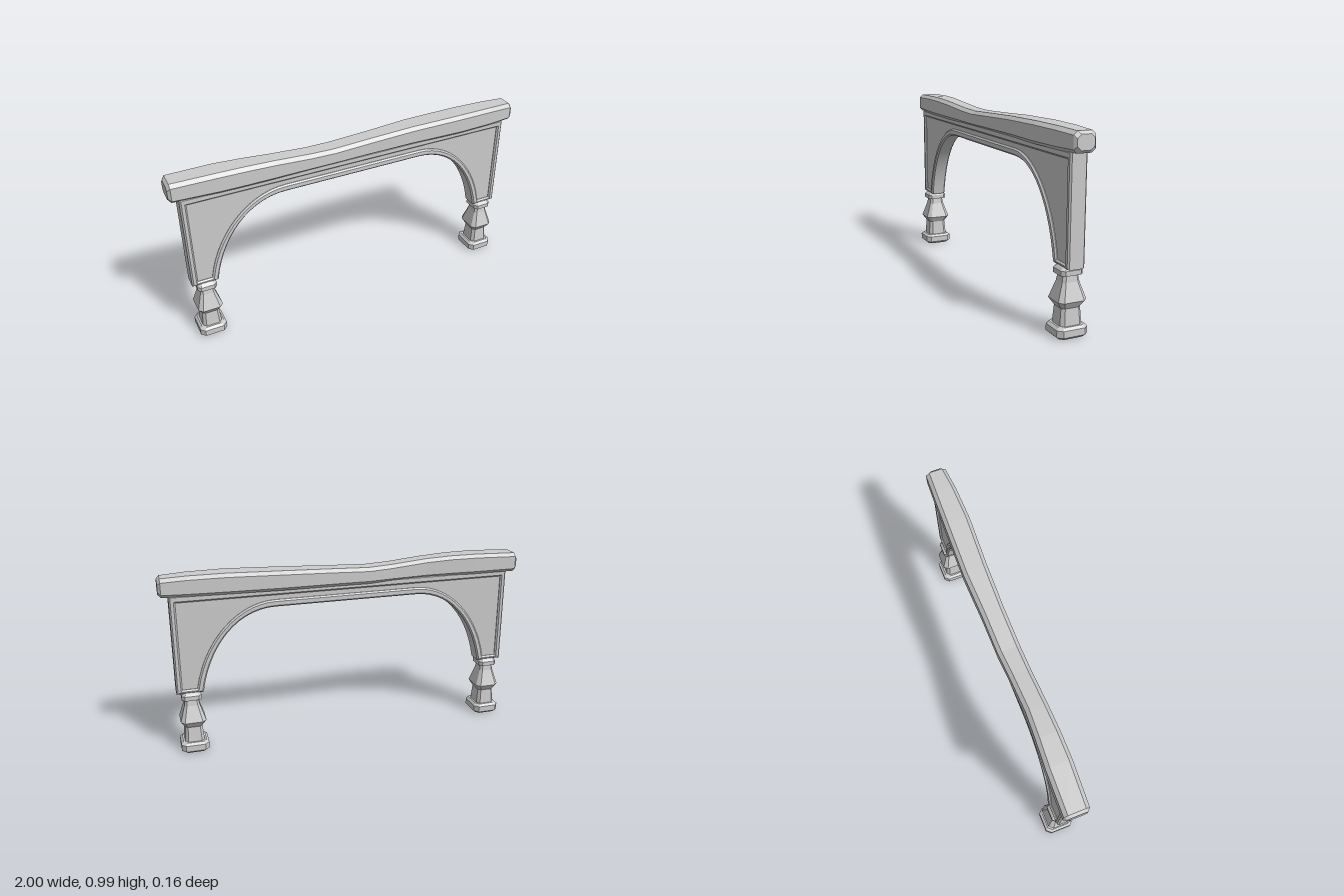
import * as THREE from 'three';
import { toCreasedNormals } from 'three/addons/utils/BufferGeometryUtils.js';

const flat = new THREE.MeshStandardMaterial({ color: 0xcccccc, flatShading: true });
const smooth = new THREE.MeshStandardMaterial({ color: 0xcccccc });

function mesh(name, geometry, material) {
  const m = new THREE.Mesh(geometry, material);
  m.name = name;
  return m;
}

// Rectangle with cut corners, counter-clockwise in (u, v)
function octagon(u0, u1, v0, v1, cu, cv) {
  return [
    [u1, v0 + cv], [u1, v1 - cv], [u1 - cu, v1], [u0 + cu, v1],
    [u0, v1 - cv], [u0, v0 + cv], [u0 + cu, v0], [u1 - cu, v0],
  ];
}

// Skin a list of rings of equal length and close both ends
function loft(rings) {
  const pos = [], n = rings[0].length, last = rings[rings.length - 1];
  const tri = (a, b, c) => pos.push(...a, ...b, ...c);
  for (let i = 0; i < rings.length - 1; i++) {
    for (let j = 0; j < n; j++) {
      const k = (j + 1) % n, a = rings[i], b = rings[i + 1];
      tri(a[j], a[k], b[k]);
      tri(a[j], b[k], b[j]);
    }
  }
  for (let j = 1; j < n - 1; j++) {
    tri(rings[0][0], rings[0][j + 1], rings[0][j]);
    tri(last[0], last[j], last[j + 1]);
  }
  const g = new THREE.BufferGeometry();
  g.setAttribute('position', new THREE.Float32BufferAttribute(pos, 3));
  g.computeVertexNormals();
  return g;
}

// Worn, gently wavy top beam
function beam() {
  // x, top, bottom, back z, front z
  const stations = [
    [-1, 0.968, 0.893, -0.062, 0.042],
    [-0.985, 0.984, 0.878, -0.077, 0.055],
    [-0.75, 0.99, 0.876, -0.07, 0.068],
    [-0.6, 0.988, 0.875, -0.06, 0.069],
    [-0.45, 0.98, 0.873, -0.052, 0.065],
    [-0.25, 0.964, 0.87, -0.058, 0.058],
    [-0.12, 0.959, 0.868, -0.066, 0.055],
    [0.1, 0.968, 0.87, -0.068, 0.054],
    [0.35, 0.979, 0.873, -0.077, 0.058],
    [0.65, 0.987, 0.875, -0.07, 0.071],
    [0.85, 0.986, 0.877, -0.064, 0.066],
    [0.985, 0.98, 0.88, -0.059, 0.055],
    [1, 0.966, 0.894, -0.046, 0.043],
  ];
  return loft(stations.map(([x, top, bottom, back, front]) =>
    octagon(bottom, top, back, front, 0.018, 0.02).map(([y, z]) => [x, y, z])));
}

// Squared baluster leg with cut corners; the underside is slightly hollow
function leg() {
  // y, half depth
  const profile = [
    [0.012, 0.022], [0, 0.066], [0.014, 0.082], [0.048, 0.082], [0.06, 0.068],
    [0.06, 0.058], [0.145, 0.051], [0.18, 0.075], [0.268, 0.045], [0.3, 0.04],
    [0.304, 0.058], [0.328, 0.058], [0.337, 0.05], [0.345, 0.04],
  ];
  return loft(profile.map(([y, d]) => {
    const w = d * 0.91;
    return octagon(-d, d, -w, w, d * 0.3, w * 0.3).map(([z, x]) => [x, y, z]);
  }));
}

// Arched apron outline: ends at x, top, foot level, arch foot x, arch top y, arch shoulder x
function arch(P, x, top, foot, ax, ay, sx) {
  const p = new P();
  p.moveTo(-x, foot);
  p.lineTo(-ax, foot);
  p.bezierCurveTo(-ax + 0.05, foot + 0.27, -sx - 0.2, ay, -sx, ay);
  p.lineTo(sx, ay);
  p.bezierCurveTo(sx + 0.2, ay, ax - 0.05, foot + 0.27, ax, foot);
  p.lineTo(x, foot);
  p.lineTo(x, top);
  p.lineTo(-x, top);
  p.closePath();
  return p;
}

export function createModel() {
  const group = new THREE.Group();
  group.add(mesh('topBeam', beam(), flat));

  // Raised border around the recessed apron panel
  const inset = [0.918, 0.846, 0.362, 0.838, 0.82, 0.4];
  const border = arch(THREE.Shape, 0.95, 0.885, 0.34, 0.807, 0.782, 0.4);
  border.holes.push(arch(THREE.Path, ...inset));
  const bevel = 0.008;
  const rim = new THREE.ExtrudeGeometry(border, {
    depth: 0.074, curveSegments: 14, bevelEnabled: true, bevelSegments: 1,
    bevelSize: bevel, bevelThickness: bevel, bevelOffset: -bevel,
  });
  rim.translate(0, 0, -0.037);
  group.add(mesh('apronBorder', toCreasedNormals(rim, 0.5), smooth));

  const panel = new THREE.ExtrudeGeometry(arch(THREE.Shape, ...inset), {
    depth: 0.068, curveSegments: 14, bevelEnabled: false,
  });
  panel.translate(0, 0, -0.034);
  group.add(mesh('apronPanel', toCreasedNormals(panel, 0.5), smooth));

  // Legs
  for (const [name, side] of [['leftLeg', 1], ['rightLeg', -1]]) {
    const l = mesh(name, leg(), flat);
    l.position.x = side * 0.873;
    group.add(l);
  }
  return group;
}
